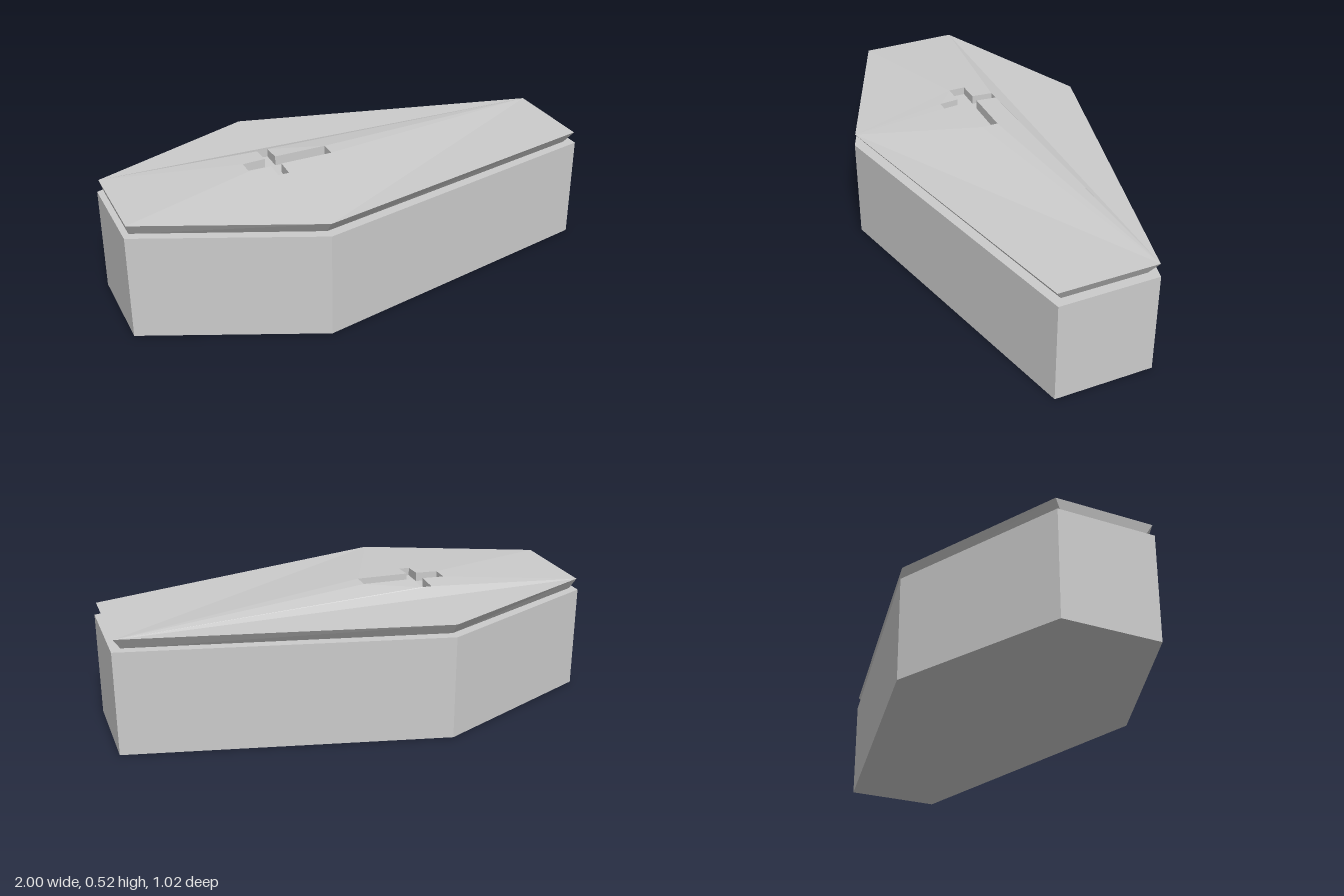
import * as THREE from 'three';

const material = new THREE.MeshStandardMaterial({ color: 0xcccccc, flatShading: true });

// Outlines are [x, -z] pairs, counter-clockwise seen from above
const hexagon = (x0, x1, endHalf, midHalf) => [
  [x0, -endHalf], [-0.29, -midHalf], [x1, -endHalf],
  [x1, endHalf], [-0.29, midHalf], [x0, endHalf],
];
const toShape = (pts) => new THREE.Shape(pts.map(([x, y]) => new THREE.Vector2(x, y)));

const bodyOutline = hexagon(-1, 1, 0.205, 0.51);
const lidBottom = hexagon(-0.975, 0.96, 0.175, 0.465);
const lidRim = hexagon(-0.99, 0.99, 0.205, 0.505);

const BODY_H = 0.437, RIM_H = 0.488, APEX_H = 0.528, FLOOR_H = 0.48;
const apex = [-0.12, 0.02];

// Cross outline: a long beam and a shorter arm near the head
const bx0 = -0.435, bx1 = -0.075, bz0 = -0.02, bz1 = 0.05;
const ax0 = -0.34, ax1 = -0.295, az0 = -0.1, az1 = 0.14;
const cross = [
  [bx0, bz0], [ax0, bz0], [ax0, az0], [ax1, az0], [ax1, bz0], [bx1, bz0],
  [bx1, bz1], [ax1, bz1], [ax1, az1], [ax0, az1], [ax0, bz1], [bx0, bz1],
];

// Height of the shallow six-sided pyramid that forms the lid's top
function lidHeight(x, y) {
  let t = 0;
  lidRim.forEach(([px, py], i) => {
    const [qx, qy] = lidRim[(i + 1) % lidRim.length];
    const nx = qy - py, ny = px - qx;
    const d = (x - apex[0]) * nx + (y - apex[1]) * ny;
    const full = (px - apex[0]) * nx + (py - apex[1]) * ny;
    t = Math.max(t, d / full);
  });
  return APEX_H + (RIM_H - APEX_H) * t;
}

// Band of quads between two matching outlines, each with its own height rule
function band(lower, lowerH, upper, upperH) {
  const pos = [];
  const at = (pts, h, i) => {
    const [x, y] = pts[i % pts.length];
    return [x, h(x, y), -y];
  };
  for (let i = 0; i < lower.length; i++) {
    const a = at(lower, lowerH, i), b = at(lower, lowerH, i + 1);
    const c = at(upper, upperH, i + 1), d = at(upper, upperH, i);
    pos.push(...a, ...b, ...c, ...a, ...c, ...d);
  }
  const g = new THREE.BufferGeometry();
  g.setAttribute('position', new THREE.Float32BufferAttribute(pos, 3));
  g.computeVertexNormals();
  return g;
}

export function createModel() {
  const model = new THREE.Group();
  model.name = 'coffin';
  const add = (name, geometry, parent) => {
    const mesh = new THREE.Mesh(geometry, material);
    mesh.name = name;
    parent.add(mesh);
  };

  // Body
  const body = new THREE.ExtrudeGeometry(toShape(bodyOutline), { depth: BODY_H, bevelEnabled: false });
  add('body', body.rotateX(-Math.PI / 2), model);

  // Lid: flared edge and shallow peaked top with the cross cut out
  const lid = new THREE.Group();
  lid.name = 'lid';
  model.add(lid);
  add('lidEdge', band(lidBottom, () => BODY_H, lidRim, () => RIM_H), lid);

  const topShape = toShape(lidRim);
  topShape.holes.push(new THREE.Path(cross.map(([x, y]) => new THREE.Vector2(x, y))));
  const top = new THREE.ShapeGeometry(topShape).rotateX(-Math.PI / 2);
  const p = top.attributes.position;
  for (let i = 0; i < p.count; i++) p.setY(i, lidHeight(p.getX(i), -p.getZ(i)));
  top.computeVertexNormals();
  add('lidTop', top, lid);

  // Cross recess: inward-facing walls and a flat floor
  const inward = [...cross].reverse();
  add('crossWalls', band(inward, () => FLOOR_H, inward, lidHeight), lid);
  const floor = new THREE.ShapeGeometry(toShape(cross)).rotateX(-Math.PI / 2);
  add('crossFloor', floor.translate(0, FLOOR_H, 0), lid);

  return model;
}
